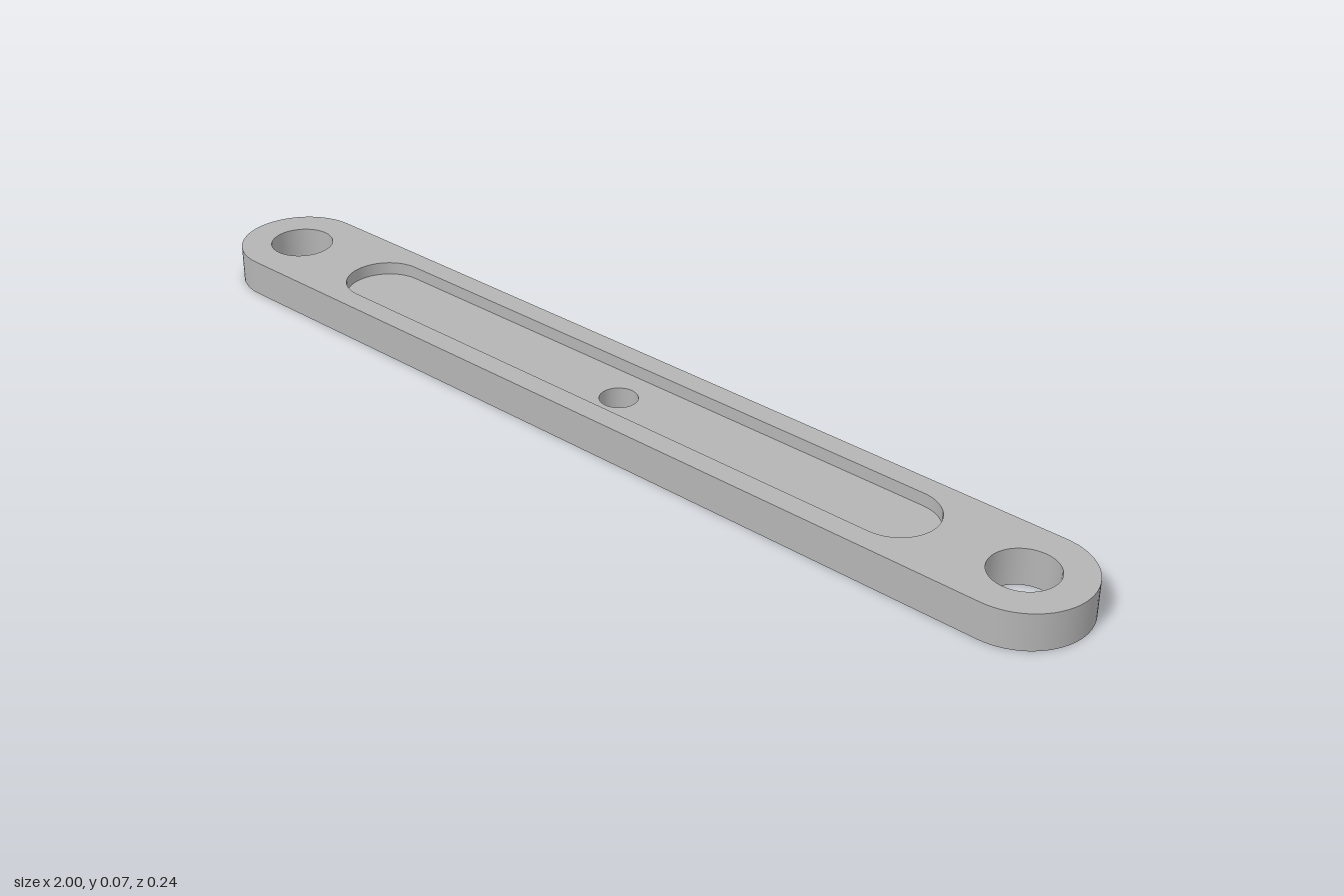
import * as THREE from 'three';

const HEIGHT = 0.071, FLOOR = 0.046, SEG = 32;
const BAR = { x: 0, r: 0.122, half: 0.878 };
const POCKET = { x: 0, r: 0.078, half: 0.625 };
const CENTRE = { x: 0, r: 0.036, half: 0 };
const ENDS = [-0.878, 0.878].map((x) => ({ x, r: 0.062, half: 0 }));

// Rounded slot outline (a circle when half is 0), with outward normals
function outline({ x, r, half }) {
  const ring = [];
  for (const side of [1, -1]) {
    for (let i = 0; i <= SEG; i++) {
      const a = (i / SEG - 0.5) * Math.PI + (side < 0 ? Math.PI : 0);
      const n = new THREE.Vector2(Math.cos(a), Math.sin(a));
      ring.push({ n, p: new THREE.Vector2(x + side * half + r * n.x, r * n.y) });
    }
  }
  return ring;
}

// Smooth vertical wall along an outline; inward walls face into the hole
function wall(slot, y0, y1, inward = false) {
  const ring = outline(slot), pos = [], nor = [], idx = [];
  const s = inward ? -1 : 1;
  ring.forEach(({ p, n }, i) => {
    for (const y of [y0, y1]) {
      pos.push(p.x, y, p.y);
      nor.push(s * n.x, 0, s * n.y);
    }
    const a = 2 * i, b = 2 * ((i + 1) % ring.length);
    if (slot.half === 0 && ring[i].p.distanceTo(ring[(i + 1) % ring.length].p) < 1e-6) return;
    if (inward) idx.push(a, b, a + 1, b, b + 1, a + 1);
    else idx.push(a, a + 1, b, b, a + 1, b + 1);
  });
  const g = new THREE.BufferGeometry();
  g.setAttribute('position', new THREE.Float32BufferAttribute(pos, 3));
  g.setAttribute('normal', new THREE.Float32BufferAttribute(nor, 3));
  g.setIndex(idx);
  return g;
}

// Flat horizontal face with holes, facing up or down
function face(slot, holes, y, up = true) {
  const points = (s) => outline(s).map((o) => o.p)
    .filter((p, i, all) => p.distanceTo(all[(i + 1) % all.length]) > 1e-6);
  const shape = new THREE.Shape(points(slot));
  shape.holes = holes.map((h) => new THREE.Path(points(h)));
  return new THREE.ShapeGeometry(shape)
    .rotateX(up ? -Math.PI / 2 : Math.PI / 2).translate(0, y, 0);
}

export function createModel() {
  const grey = new THREE.MeshStandardMaterial({ name: 'grey metal', color: 0xb4b4b4 });
  const model = new THREE.Group();
  model.name = 'slottedLinkBar';
  const add = (name, geometry) => {
    const mesh = new THREE.Mesh(geometry, grey);
    mesh.name = name;
    model.add(mesh);
  };

  // Bar body
  add('outerWall', wall(BAR, 0, HEIGHT));
  add('topFace', face(BAR, [POCKET, ...ENDS], HEIGHT));
  add('bottomFace', face(BAR, [CENTRE, ...ENDS], 0, false));

  // Long recessed pocket
  add('pocketWall', wall(POCKET, FLOOR, HEIGHT, true));
  add('pocketFloor', face(POCKET, [CENTRE], FLOOR));

  // Through holes
  add('centreHole', wall(CENTRE, 0, FLOOR, true));
  ENDS.forEach((end) => add(end.x > 0 ? 'leftHole' : 'rightHole', wall(end, 0, HEIGHT, true)));
  return model;
}
